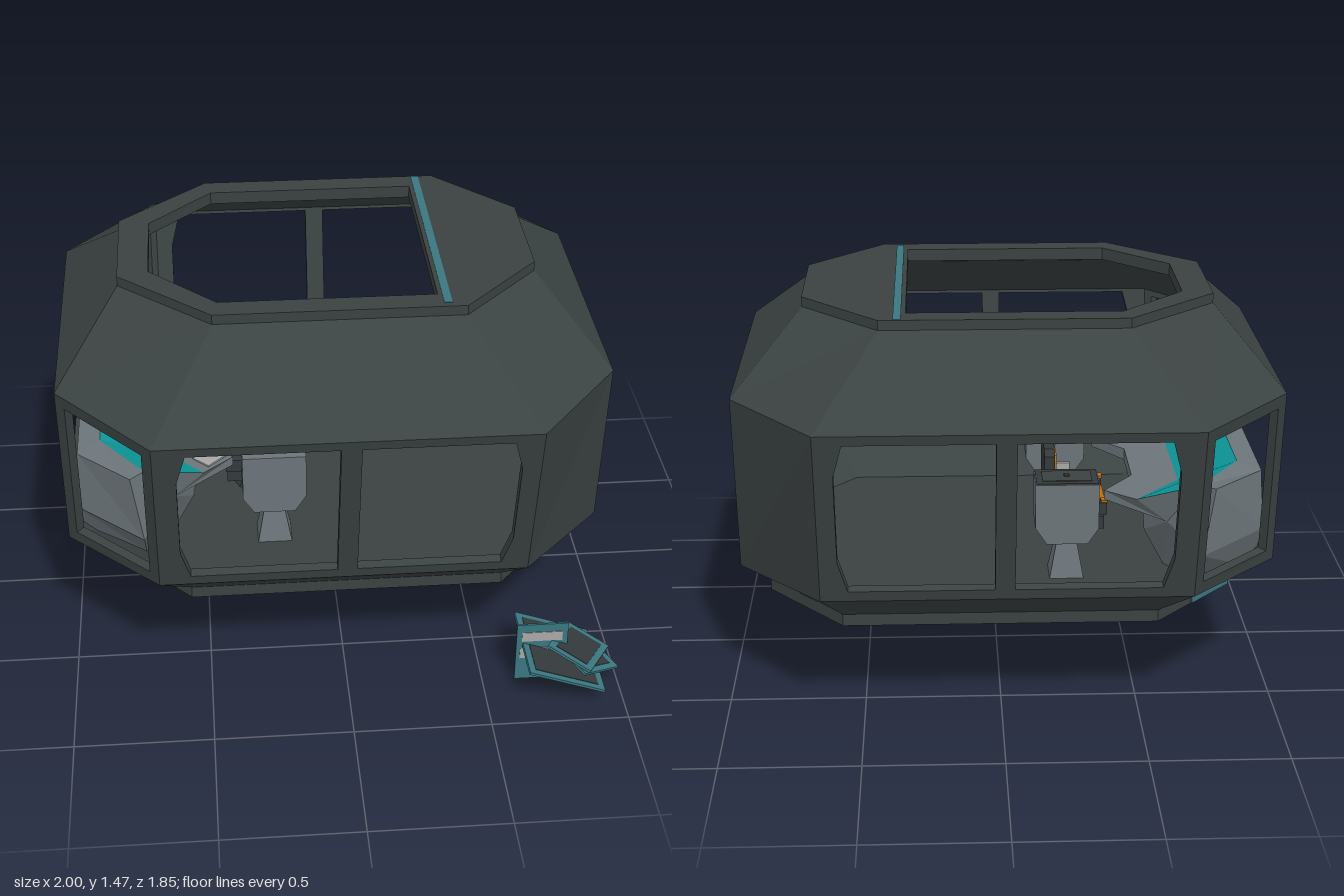
import * as THREE from 'three';

const mat = (name, color, side = THREE.FrontSide) => {
  const m = new THREE.MeshStandardMaterial({ color, side, flatShading: true });
  m.name = name;
  return m;
};

export function createModel() {
  const root = new THREE.Group();
  root.name = 'controlCabin';
  const hull = mat('hullCharcoal', 0x3b4242);
  const teal = mat('trimTeal', 0x3a7780);
  const cyan = mat('screenCyan', 0x0c9a9c, THREE.DoubleSide);
  const orange = mat('seatOrange', 0xb8700e);
  const grey = mat('consoleGrey', 0x6c757a, THREE.DoubleSide);
  const pale = mat('paleGrey', 0xa9a8a6);
  const dark = mat('seatDark', 0x343a3c);

  const add = (name, geo, material, parent = root) => {
    const m = new THREE.Mesh(geo, material);
    m.name = name;
    parent.add(m);
    return m;
  };
  const box = (name, material, w, h, d, x, y, z, parent = root) => {
    const m = add(name, new THREE.BoxGeometry(w, h, d), material, parent);
    m.position.set(x, y, z);
    return m;
  };

  // Eight-sided hull rings, counter-clockwise seen from above, starting at the front left edge
  const ring = (y, xl, xr, z, cl, cr, cz) =>
    [[cl, z], [cr, z], [xr, cz], [xr, -cz], [cr, -z], [cl, -z], [xl, -cz], [xl, cz]]
      .map(([px, pz]) => new THREE.Vector3(px, y, pz));
  const rings = [
    ring(0.365, -0.86, 0.85, 0.64, -0.56, 0.57, 0.32),
    ring(0.41, -0.86, 0.85, 0.64, -0.56, 0.57, 0.32),
    ring(0.52, -1.0, 0.945, 0.765, -0.67, 0.64, 0.445),
    ring(1.19, -1.0, 0.945, 0.925, -0.67, 0.64, 0.535),
    ring(1.43, -0.775, 0.705, 0.525, -0.45, 0.425, 0.22),
  ];

  // Panel: an extruded unit square with holes, fitted to four hull corners
  const toPath = (pts) => pts.map(([s, t]) => new THREE.Vector2(s, t));
  const panel = (a, b, c, d, holes = [], thick = 0.035, outline = [[0, 0], [1, 0], [1, 1], [0, 1]], lift = 0) => {
    const shape = new THREE.Shape(toPath(outline));
    holes.forEach((h) => shape.holes.push(new THREE.Path(toPath(h))));
    const geo = new THREE.ExtrudeGeometry(shape, { depth: thick, bevelEnabled: false });
    const n = c.clone().sub(a).cross(d.clone().sub(b)).normalize();
    const pos = geo.attributes.position;
    const lo = new THREE.Vector3(), hi = new THREE.Vector3();
    for (let i = 0; i < pos.count; i++) {
      lo.lerpVectors(a, b, pos.getX(i));
      hi.lerpVectors(d, c, pos.getX(i));
      lo.lerp(hi, pos.getY(i)).addScaledVector(n, pos.getZ(i) - thick + lift);
      pos.setXYZ(i, lo.x, lo.y, lo.z);
    }
    geo.computeVertexNormals();
    return geo;
  };
  const hole = (s0, s1, t0, t1) => [[s0, t0], [s1, t0], [s1, t1], [s0, t1]];

  // Window and door openings by wall: front, chamfer, right, chamfer, back, chamfer, left, chamfer
  const wide = [
    [[0.085, 0.06], [0.48, 0.06], [0.48, 0.945], [0.085, 0.945], [0.06, 0.76], [0.06, 0.24]],
    [[0.534, 0.06], [0.925, 0.06], [0.95, 0.24], [0.95, 0.76], [0.925, 0.945], [0.534, 0.945]],
  ];
  const wideBack = wide.map((h) => h.map(([s, t]) => [1 - s, t]).reverse());
  const corner = [hole(0.1, 0.9, 0.07, 0.93)];
  const door = [[[0.385, 0.1], [0.615, 0.1], [0.63, 0.2], [0.63, 0.9], [0.56, 0.93], [0.44, 0.93], [0.37, 0.9], [0.37, 0.2]]];
  const openings = [wide, [], door, [], wideBack, corner, [hole(0.06, 0.94, 0.07, 0.93)], corner];
  const bands = ['skirt', 'lowerSlope', 'wall', 'roofSlope'];
  bands.forEach((band, k) => {
    for (let i = 0; i < 8; i++) {
      const j = (i + 1) % 8, lo = rings[k], hi = rings[k + 1];
      add(band + 'Panel', panel(lo[i], lo[j], hi[j], hi[i], k === 2 ? openings[i] : []), hull);
    }
  });

  // Flat slabs: floor and open roof rim
  const slab = (name, pts, holePts, y0, h) => {
    const shape = new THREE.Shape(pts.map((p) => new THREE.Vector2(p.x, -p.z)));
    if (holePts) shape.holes.push(new THREE.Path(toPath(holePts)));
    const geo = new THREE.ExtrudeGeometry(shape, { depth: h, bevelEnabled: false });
    geo.rotateX(-Math.PI / 2).translate(0, y0, 0);
    add(name, geo, hull);
  };
  slab('floor', rings[0], null, 0.365, 0.075);
  slab('roofRim', rings[4], [[0.33, -0.435], [0.33, 0.435], [-0.43, 0.435], [-0.665, 0.19], [-0.665, -0.19], [-0.43, -0.435]], 1.42, 0.046);
  box('roofStrip', teal, 0.028, 0.006, 1.02, 0.36, 1.465, -0.01);

  // Teal plates on the two left skirt corners
  for (const [i, s0, s1] of [[5, 0.46, 0.98], [7, 0.02, 0.54]]) {
    const j = (i + 1) % 8;
    add('skirtPlate', panel(rings[0][i], rings[0][j], rings[1][j], rings[1][i], [], 0.006, hole(s0, s1, 0.02, 0.7), 0.005), teal);
  }

  // Wraparound console: each profile point is [middle x, corner z, middle y, end x, end z, end y]
  const profile = [
    [-0.95, 0.30, 0.42, -0.72, 0.45, 0.44], [-0.965, 0.40, 0.62, -0.72, 0.60, 0.60],
    [-0.95, 0.40, 0.85, -0.76, 0.58, 0.85], [-0.87, 0.33, 0.86, -0.71, 0.51, 0.835],
    [-0.67, 0.22, 0.745, -0.5, 0.385, 0.735], [-0.505, 0.14, 0.735, -0.39, 0.28, 0.73],
    [-0.505, 0.14, 0.69, -0.39, 0.28, 0.695], [-0.56, 0.18, 0.68, -0.53, 0.30, 0.69],
    [-0.58, 0.18, 0.57, -0.54, 0.30, 0.58], [-0.72, 0.18, 0.43, -0.62, 0.30, 0.43],
  ];
  const sections = profile.map(([xm, zc, ym, xe, ze, ye]) => [[xe, ye, ze], [xm, ym, zc], [xm, ym, -zc], [xe, ye, -ze]]);
  const surface = (name, keep, caps, material) => {
    const out = [], n = sections.length;
    for (let i = 0; i < n; i++) {
      if (!keep(i)) continue;
      const p = sections[i], q = sections[(i + 1) % n];
      for (let s = 0; s < 3; s++) out.push(...p[s], ...p[s + 1], ...q[s + 1], ...p[s], ...q[s + 1], ...q[s]);
    }
    if (caps) {
      for (const e of [0, 3]) {
        const mid = [-0.61, 0.66, e ? -0.42 : 0.42];
        for (let i = 0; i < n; i++) out.push(...mid, ...sections[i][e], ...sections[(i + 1) % n][e]);
      }
    }
    const geo = new THREE.BufferGeometry();
    geo.setAttribute('position', new THREE.Float32BufferAttribute(out, 3));
    geo.computeVertexNormals();
    add(name, geo, material);
  };
  surface('console', (i) => i !== 3, true, grey);
  surface('consoleScreens', (i) => i === 3, false, cyan);
  for (const z of [-0.1, -0.04, 0.04, 0.1]) box('consoleButton', orange, 0.04, 0.025, 0.035, -0.795, 0.847, z);
  box('consolePad', pale, 0.1, 0.006, 0.08, -0.475, 0.738, 0.285).rotation.y = 0.8;
  box('consoleKneePanel', pale, 0.008, 0.11, 0.12, -0.552, 0.63, 0.24).rotation.set(0, 0.28, -0.12);

  // Operator's chair, facing -x
  const chair = new THREE.Group();
  chair.name = 'chair';
  root.add(chair);
  // Upright chair plate with mirrored outline [half width, height]
  const upright = (name, material, half, x, depth) => {
    const pts = [...half, ...half.map(([w, h]) => [-w, h]).reverse()];
    const geo = new THREE.ExtrudeGeometry(new THREE.Shape(toPath(pts)), { depth, bevelEnabled: false });
    add(name, geo.rotateY(Math.PI / 2).translate(x, 0, 0), material, chair);
  };
  box('seatBase', dark, 0.2, 0.05, 0.2, -0.31, 0.525, 0, chair);
  box('seatCushion', orange, 0.2, 0.045, 0.19, -0.315, 0.58, 0, chair);
  upright('backrest', dark, [[0.08, 0.575], [0.11, 0.62], [0.11, 0.8], [0.09, 0.825]], -0.218, 0.04);
  upright('backrestPad', orange, [[0.075, 0.6], [0.085, 0.64], [0.08, 0.77], [0.07, 0.79]], -0.227, 0.009);
  for (const s of [-1, 1]) {
    box('armrest', dark, 0.21, 0.05, 0.035, -0.31, 0.6, s * 0.13, chair);
    box('armrestGrip', orange, 0.025, 0.009, 0.036, -0.405, 0.63, s * 0.128, chair);
    box('armrestSide', pale, 0.08, 0.075, 0.015, -0.25, 0.655, s * 0.112, chair);
  }
  const neck = add('headrestPost', new THREE.CylinderGeometry(0.012, 0.035, 0.09, 8), grey, chair);
  neck.position.set(-0.2, 0.86, 0);
  upright('headrest', dark, [[0.055, 0.9], [0.075, 0.915], [0.075, 0.97], [0.06, 0.983]], -0.233, 0.05);
  const post = add('chairPedestal', new THREE.CylinderGeometry(0.035, 0.08, 0.08, 8), dark, chair);
  post.position.set(-0.31, 0.47, 0);

  // Side cabinets on flared feet
  const side = new THREE.Shape(toPath([[-0.36, 0.64], [-0.32, 0.58], [-0.17, 0.58], [-0.128, 0.645], [-0.128, 0.815], [-0.36, 0.815]]));
  for (const s of [-1, 1]) {
    const body = new THREE.ExtrudeGeometry(side, { depth: 0.14, bevelEnabled: false });
    add('cabinet', body.translate(0, 0, s * 0.36 - 0.07), grey);
    const foot = add('cabinetFoot', new THREE.CylinderGeometry(0.05, 0.09, 0.15, 4), grey);
    foot.rotation.y = Math.PI / 4;
    foot.position.set(-0.245, 0.51, s * 0.36);
  }
  box('cabinetTop', dark, 0.225, 0.008, 0.145, -0.244, 0.815, -0.36);
  box('cabinetDisplay', hull, 0.18, 0.006, 0.1, -0.244, 0.819, -0.36);
  box('cabinetKnob', dark, 0.02, 0.008, 0.02, -0.244, 0.824, -0.36);

  // Loose framed plates below the front right corner
  const stack = new THREE.Group();
  stack.name = 'loosePlates';
  stack.position.set(0.785, 0.115, 0.745);
  stack.rotation.z = -0.35;
  root.add(stack);
  const framed = (w, d, x, y, z, yaw) => {
    const g = new THREE.Group();
    g.name = 'framedPlate';
    g.position.set(x, y, z);
    g.rotation.y = yaw;
    stack.add(g);
    box('plateFrame', teal, w, 0.01, d, 0, 0, 0, g);
    box('plateCentre', dark, w - 0.05, 0.014, d - 0.05, 0, 0, 0, g);
  };
  framed(0.3, 0.355, 0, -0.004, 0, 0);
  framed(0.18, 0.22, 0.085, 0.022, 0, 0.55);
  framed(0.18, 0.22, 0.06, 0.038, 0, -0.55);

  // Upright card through the plates
  box('uprightPlate', teal, 0.19, 0.25, 0.008, 0.715, 0.125, 0.75);
  box('uprightPanel', pale, 0.15, 0.04, 0.012, 0.715, 0.195, 0.75);
  box('uprightPanel', pale, 0.13, 0.045, 0.012, 0.7, 0.12, 0.75);
  box('uprightSlot', dark, 0.07, 0.014, 0.02, 0.715, 0.03, 0.742);
  return root;
}
